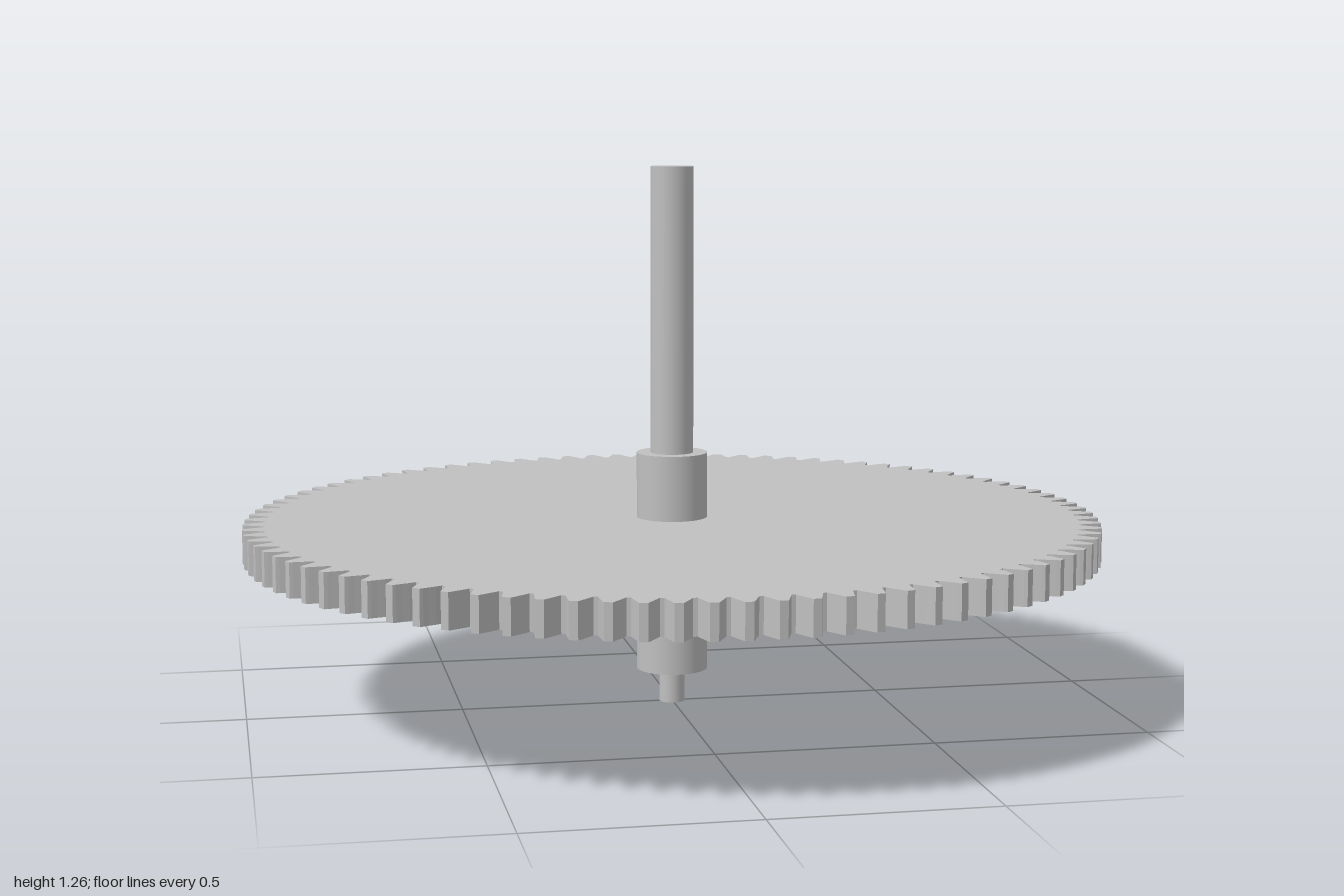
import * as THREE from 'three';

const steel = new THREE.MeshStandardMaterial({ name: 'grey steel', color: 0xc0c0c0 });

// Upright round rod between two heights
function rod(name, radius, bottom, top) {
  const mesh = new THREE.Mesh(new THREE.CylinderGeometry(radius, radius, top - bottom, 48), steel);
  mesh.name = name;
  mesh.position.y = (bottom + top) / 2;
  return mesh;
}

// Flat spur gear; the tooth profile is mirrored about each tooth's centre line
function gear(name, teeth, outer, depth, bottom, top) {
  const pitch = (Math.PI * 2) / teeth;
  // [share of pitch from the tooth centre, share of depth below the tip]
  const flank = [[0.43, 1], [0.35, 0.72], [0.25, 0.4], [0.18, 0.15], [0.13, 0]];
  const profile = [
    ...flank.map(([a, d]) => [-a, d]),
    ...[...flank].reverse(),
  ];
  const points = [];
  for (let i = 0; i < teeth; i++) {
    for (const [a, d] of profile) {
      const angle = (i + a) * pitch;
      const r = outer - d * depth;
      points.push(new THREE.Vector2(Math.cos(angle) * r, Math.sin(angle) * r));
    }
  }
  const geometry = new THREE.ExtrudeGeometry(new THREE.Shape(points), {
    depth: top - bottom,
    bevelEnabled: false,
  });
  geometry.rotateX(-Math.PI / 2);
  const mesh = new THREE.Mesh(geometry, steel);
  mesh.name = name;
  mesh.position.y = bottom;
  return mesh;
}

export function createModel() {
  const group = new THREE.Group();
  group.name = 'compoundGear';
  group.add(
    rod('lowerPivot', 0.03, 0, 0.08),
    rod('hub', 0.083, 0.08, 0.597),
    rod('upperShaft', 0.05, 0.597, 1.265),
    gear('largeGear', 90, 1, 0.05, 0.365, 0.444),
    gear('smallGear', 30, 0.41, 0.058, 0.242, 0.322),
  );
  return group;
}
